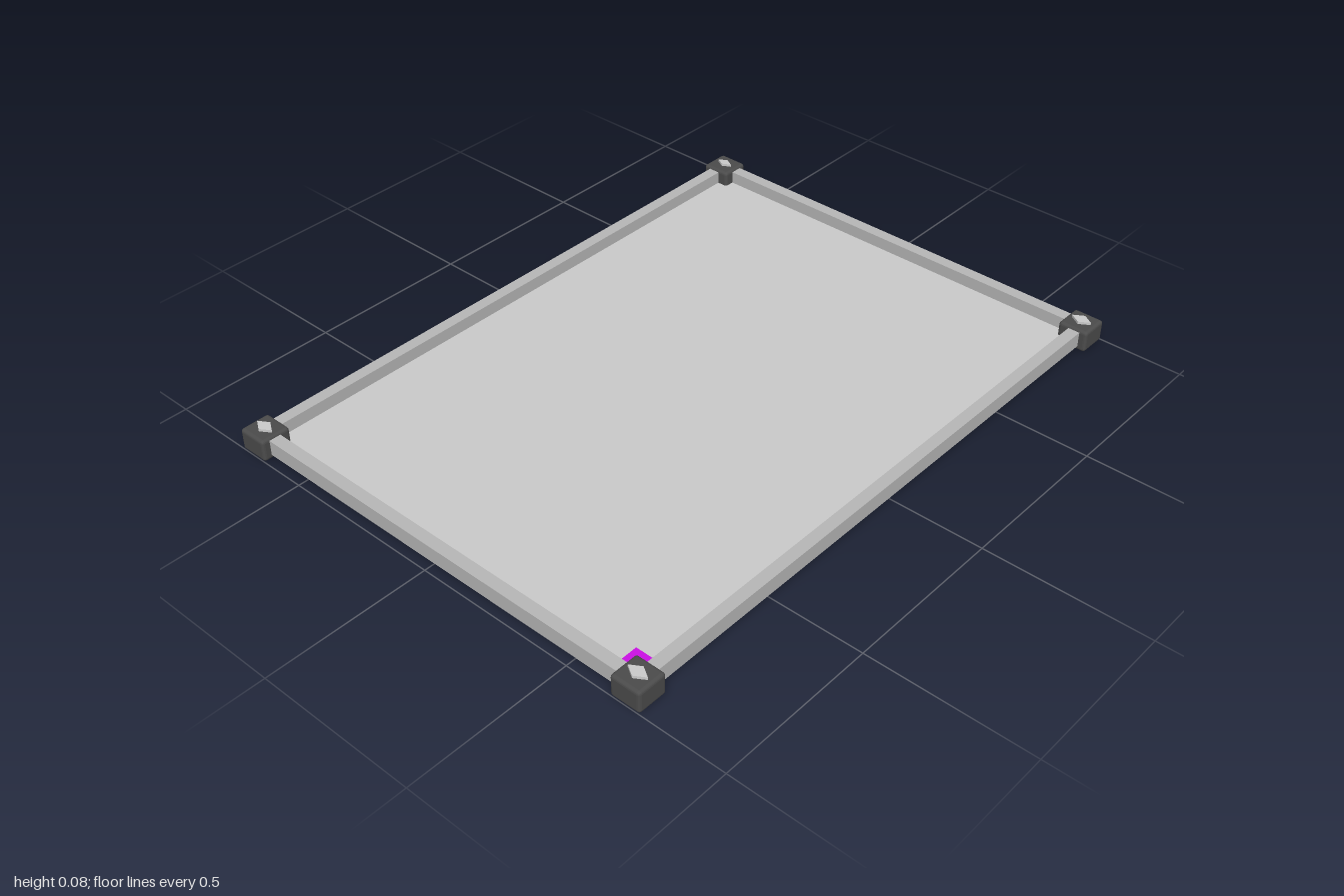
import * as THREE from 'three';
import { RoundedBoxGeometry } from 'three/addons/geometries/RoundedBoxGeometry.js';

export function createModel() {
  const model = new THREE.Group();
  const mat = (color) => new THREE.MeshStandardMaterial({ color, flatShading: true });
  const grey = mat(0xcccccc), railGrey = mat(0xb8b8b8), dark = mat(0x4c4c4c), purple = mat(0xcc10e6);

  function add(name, geometry, material, x, y, z) {
    const mesh = new THREE.Mesh(geometry, material);
    mesh.name = name;
    mesh.position.set(x, y, z);
    model.add(mesh);
    return mesh;
  }
  const box = (w, h, d) => new THREE.BoxGeometry(w, h, d);

  // Thin bed inside the frame
  add('bedPanel', box(1.88, 0.008, 1.356), grey, 0, 0.018, 0);

  // Four frame rails, mirrored in pairs
  for (const s of [-1, 1]) {
    add('longRail', box(1.84, 0.048, 0.037), railGrey, 0, 0.037, s * 0.695);
    add('sideRail', box(0.037, 0.048, 1.32), railGrey, s * 0.9575, 0.037, 0);
  }

  // Diamond stud, extruded upward
  const diamond = new THREE.Shape([[0, -0.032], [0.02, 0], [0, 0.032], [-0.02, 0]]
    .map(([x, y]) => new THREE.Vector2(x, y)));
  const studGeometry = new THREE.ExtrudeGeometry(diamond, { depth: 0.012, bevelEnabled: false });
  studGeometry.rotateX(-Math.PI / 2);

  // Bevelled corner blocks with their studs
  const cornerGeometry = new RoundedBoxGeometry(0.093, 0.068, 0.095, 2, 0.009);
  for (const x of [-1, 1]) for (const z of [-1, 1]) {
    add('cornerBlock', cornerGeometry, dark, x * 0.9535, 0.034, z * 0.69);
    const stud = add('cornerStud', studGeometry, grey, x * 0.9535, 0.064, z * 0.69);
    if (x > 0 && z < 0) stud.scale.set(0.75, 1, 0.85);
  }

  // Coloured marker square in the front right corner of the bed
  add('originMarker', box(0.075, 0.004, 0.075), purple, -0.9015, 0.024, 0.638);

  return model;
}
